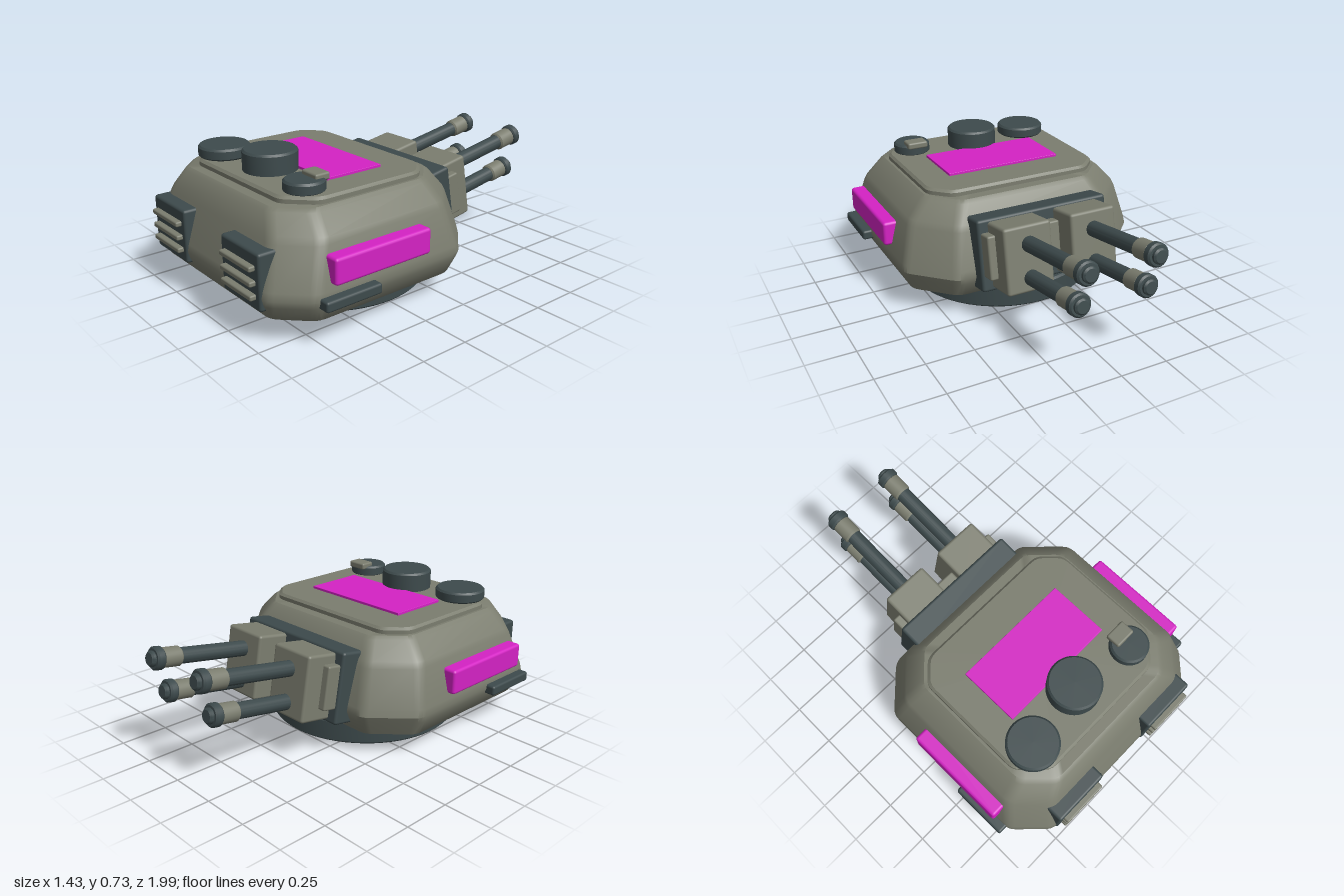
import * as THREE from 'three';
import { toCreasedNormals } from 'three/addons/utils/BufferGeometryUtils.js';
import { RoundedBoxGeometry } from 'three/addons/geometries/RoundedBoxGeometry.js';

const mat = (name, color) => {
  const m = new THREE.MeshStandardMaterial({ color });
  m.name = name;
  return m;
};

// octagonal outline with softened corners; w half width, zb back, zf front, chamfers
function outline(w, zb, zf, cb, cf) {
  const c = [
    [w - cf, zf], [w, zf - cf], [w, zb + cb], [w - cb, zb],
    [-w + cb, zb], [-w, zb + cb], [-w, zf - cf], [-w + cf, zf],
  ].map(([x, z]) => new THREE.Vector2(x, z));
  const pts = [];
  c.forEach((p, i) => {
    const towards = (q) => p.clone().add(q.clone().sub(p).setLength(0.035));
    const a = towards(c[(i + 7) % 8]), b = towards(c[(i + 1) % 8]);
    pts.push(...new THREE.QuadraticBezierCurve(a, p, b).getPoints(3));
  });
  return pts;
}

// skin a stack of [y, halfWidth, back, front, backChamfer, frontChamfer] sections
function loft(sections, crease) {
  const pos = [], idx = [];
  let n = 0;
  for (const [y, ...o] of sections) {
    const pts = outline(...o);
    n = pts.length;
    for (const p of pts) pos.push(p.x, y, p.y);
  }
  const last = sections.length - 1;
  for (let r = 0; r < last; r++) {
    for (let i = 0; i < n; i++) {
      const a = r * n + i, b = r * n + (i + 1) % n;
      idx.push(a, b, b + n, a, b + n, a + n);
    }
  }
  // end caps
  const low = pos.length / 3, high = low + 1;
  pos.push(0, sections[0][0], 0.35, 0, sections[last][0], 0.35);
  for (let i = 0; i < n; i++) {
    const j = (i + 1) % n;
    idx.push(low, j, i, high, last * n + i, last * n + j);
  }
  const g = new THREE.BufferGeometry();
  g.setAttribute('position', new THREE.Float32BufferAttribute(pos, 3));
  g.setIndex(idx);
  return toCreasedNormals(g, crease);
}

// bevelled disc standing on y = 0
function disc(r, h, bevel = 0.01, sides = 48) {
  const p = [[0, 0], [r - bevel, 0], [r, bevel], [r, h - bevel], [r - bevel, h], [0, h]];
  return toCreasedNormals(new THREE.LatheGeometry(p.map(([x, y]) => new THREE.Vector2(x, y)), sides), 0.5);
}

export function createModel() {
  const model = new THREE.Group();
  model.name = 'turret';
  const olive = mat('olive armour', 0x7b7d6f);
  const dark = mat('dark metal', 0x3d4a4c);
  const magenta = mat('magenta panel', 0xd422c4);

  const add = (parent, name, geo, material, x = 0, y = 0, z = 0) => {
    const m = new THREE.Mesh(geo, material);
    m.name = name;
    m.position.set(x, y, z);
    parent.add(m);
    return m;
  };
  // rounded box given by its limits on each axis
  const box = (parent, name, material, [x0, x1], [y0, y1], [z0, z1], r = 0.01) =>
    add(parent, name, new RoundedBoxGeometry(x1 - x0, y1 - y0, z1 - z0, 2, r), material,
      (x0 + x1) / 2, (y0 + y1) / 2, (z0 + z1) / 2);

  // turret ring and armoured hull
  add(model, 'turretRing', disc(0.505, 0.12, 0.01, 64), dark, 0, 0, 0.245);
  add(model, 'hull', loft([
    [0.108, 0.60, -0.175, 0.895, 0.18, 0.15],
    [0.122, 0.62, -0.195, 0.915, 0.18, 0.15],
    [0.20, 0.655, -0.232, 0.952, 0.20, 0.155],
    [0.235, 0.667, -0.245, 0.96, 0.205, 0.16],
    [0.27, 0.662, -0.238, 0.953, 0.205, 0.16],
    [0.46, 0.612, -0.182, 0.892, 0.19, 0.16],
    [0.49, 0.598, -0.17, 0.882, 0.185, 0.16],
    [0.575, 0.52, -0.11, 0.845, 0.15, 0.14],
    [0.59, 0.50, -0.09, 0.825, 0.14, 0.135],
  ], 0.6), olive);
  add(model, 'roofPlate', loft([
    [0.57, 0.487, -0.037, 0.775, 0.1, 0.13],
    [0.61, 0.487, -0.037, 0.775, 0.1, 0.13],
    [0.622, 0.475, -0.025, 0.763, 0.098, 0.128],
  ], 0.5), olive);

  // roof fittings
  box(model, 'roofPanel', magenta, [-0.32, 0.32], [0.618, 0.635], [0.16, 0.48], 0.002);
  add(model, 'centreHatch', disc(0.135, 0.115), dark, 0, 0.61, 0.58);
  add(model, 'rightHatch', disc(0.131, 0.06), dark, -0.34, 0.62, 0.632);
  add(model, 'leftHatch', disc(0.098, 0.06), dark, 0.347, 0.615, 0.63);
  box(model, 'sight', olive, [0.29, 0.403], [0.66, 0.696], [0.525, 0.605]);

  for (const [side, s] of [['left', 1], ['right', -1]]) {
    const span = (a, b) => (s > 0 ? [a, b] : [-b, -a]);
    // side panels and rails
    box(model, side + 'SidePanel', magenta, span(0.58, 0.692), [0.297, 0.425], [0.17, 0.72], 0.015);
    box(model, side + 'SideRail', dark, span(0.6, 0.713), [0.2, 0.252], [0.48, 0.785], 0.012);
    // slatted front vents
    box(model, side + 'Vent', dark, span(0.17, 0.48), [0.17, 0.443], [0.86, 0.967], 0.014);
    for (const y of [0.37, 0.3, 0.235]) {
      box(model, side + 'VentSlat', olive, span(0.2, 0.45), [y - 0.013, y + 0.013], [0.93, 0.997], 0.008);
    }
  }

  // gun mount, tilted up; its barrels point along local -z
  const guns = new THREE.Group();
  guns.name = 'gunMount';
  guns.position.set(0, 0.36, -0.3);
  guns.rotation.x = 0.17;
  model.add(guns);
  box(guns, 'mantlet', dark, [-0.365, 0.365], [-0.18, 0.19], [0.005, 0.16], 0.015);
  box(guns, 'mantletCentre', olive, [-0.055, 0.055], [-0.1, 0.125], [-0.05, 0.03]);

  // one barrel: stepped sleeves given as [material, radius, start, length]
  const barrel = (x, y, tip) => {
    const g = new THREE.Group();
    g.name = 'barrel';
    g.position.set(x, y, 0);
    g.rotation.x = -Math.PI / 2;
    guns.add(g);
    const parts = [
      ['tube', dark, 0.04, 0.1, tip - 0.2],
      ['sleeve', olive, 0.049, tip - 0.165, 0.105],
      ['muzzle', dark, 0.057, tip - 0.065, 0.045],
      ['muzzleTip', dark, 0.038, tip - 0.03, 0.03],
    ];
    for (const [name, m, r, start, len] of parts) add(g, name, disc(r, len, 0.008, 24), m, 0, start, 0);
  };
  for (const s of [1, -1]) {
    const span = (a, b) => (s > 0 ? [a, b] : [-b, -a]);
    box(guns, 'gunBlock', olive, span(0.055, 0.31), [-0.163, 0.175], [-0.166, 0.05], 0.015);
    box(guns, 'gunEar', olive, span(0.29, 0.35), [-0.1, 0.125], [-0.068, 0.03]);
    barrel(s * 0.18, 0.08, 0.715);
    barrel(s * 0.18, -0.09, 0.632);
  }
  return model;
}
